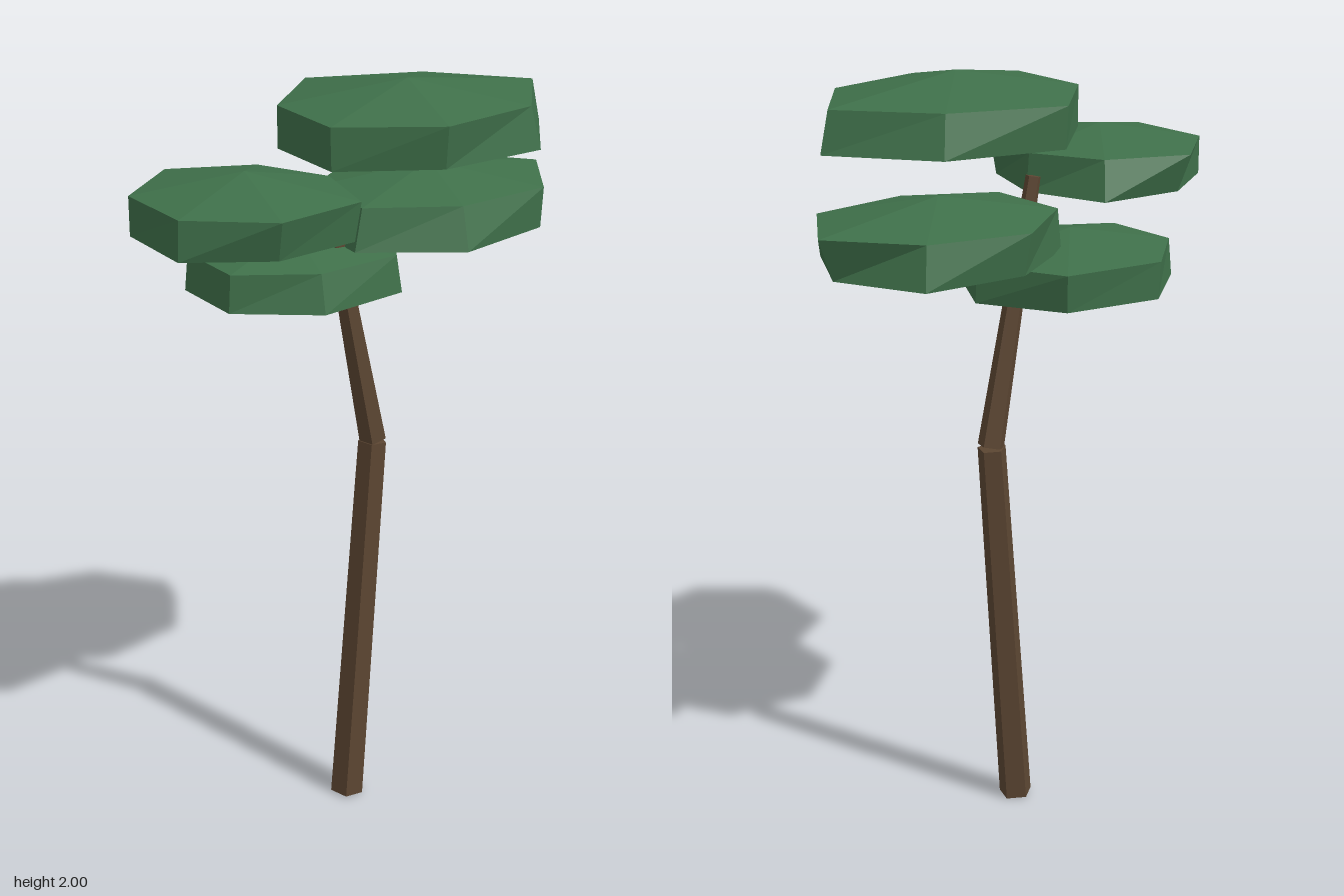
import * as THREE from 'three';

const bark = new THREE.MeshStandardMaterial({ color: 0x5c4632, flatShading: true });
bark.name = 'bark brown';
const leaf = new THREE.MeshStandardMaterial({ color: 0x3f704a, flatShading: true });
leaf.name = 'leaf green';

// Five-sided tapered trunk piece between two points
function trunkPiece(name, from, to, r0, r1) {
  const a = new THREE.Vector3(...from), b = new THREE.Vector3(...to);
  const dir = b.clone().sub(a);
  const geo = new THREE.CylinderGeometry(r1, r0, dir.length(), 5, 1, false, Math.PI);
  const mesh = new THREE.Mesh(geo, bark);
  mesh.name = name;
  mesh.position.copy(a).add(b).multiplyScalar(0.5);
  mesh.quaternion.setFromUnitVectors(new THREE.Vector3(0, 1, 0), dir.normalize());
  return mesh;
}

// Flat seven-sided leaf pad: two uneven rings between a top and a bottom point
function leafPad({ name, centre, size, upper, lower }) {
  const [rx, ry, rz] = size, n = upper.length;
  const pos = [0, ry, 0];
  [[upper, 0.5], [lower, -0.5]].forEach(([ring, h]) => ring.forEach((f, k) => {
    const t = (k / n) * Math.PI * 2;
    pos.push(Math.cos(t) * rx * f, h * ry, Math.sin(t) * rz * f);
  }));
  pos.push(0, -ry, 0);
  const index = [], last = 2 * n + 1;
  for (let k = 0; k < n; k++) {
    const ua = 1 + k, ub = 1 + (k + 1) % n, la = ua + n, lb = ub + n;
    index.push(0, ub, ua, ua, lb, la, ua, ub, lb, last, la, lb);
  }
  const geo = new THREE.BufferGeometry();
  geo.setAttribute('position', new THREE.Float32BufferAttribute(pos, 3));
  geo.setIndex(index);
  const flat = geo.toNonIndexed();
  flat.computeVertexNormals();
  const mesh = new THREE.Mesh(flat, leaf);
  mesh.name = name;
  mesh.position.set(...centre);
  return mesh;
}

// Ring factors start at +x and run towards +z
const pads = [
  { name: 'topLeafPad', centre: [0.08, 1.895, 0.09], size: [0.35, 0.105, 0.30],
    upper: [1.09, 0.94, 0.92, 0.96, 0.93, 1.10, 0.91],
    lower: [1.16, 1.02, 0.87, 0.95, 0.93, 1.08, 1.02] },
  { name: 'rightLeafPad', centre: [-0.35, 1.727, 0.04], size: [0.272, 0.098, 0.272],
    upper: [0.87, 1.06, 1.0, 1.0, 1.0, 1.03, 0.86],
    lower: [0.90, 1.0, 0.9, 1.02, 1.0, 0.9, 1.02] },
  { name: 'leftLeafPad', centre: [0.25, 1.633, -0.055], size: [0.32, 0.105, 0.27],
    upper: [1.09, 1.02, 0.9, 0.97, 0.97, 1.0, 0.93],
    lower: [0.97, 1.0, 1.05, 1.07, 1.0, 0.93, 1.04] },
  { name: 'lowLeafPad', centre: [-0.13, 1.515, -0.10], size: [0.30, 0.095, 0.265],
    upper: [1.0, 0.95, 0.84, 0.9, 0.9, 1.01, 1.05],
    lower: [1.01, 1.0, 0.95, 0.93, 0.93, 0.99, 1.0] },
];

export function createModel() {
  const tree = new THREE.Group();
  tree.name = 'tree';
  // Bent trunk
  tree.add(trunkPiece('lowerTrunk', [-0.04, 0.004, 0], [0.042, 1.035, 0], 0.045, 0.038));
  tree.add(trunkPiece('upperTrunk', [0.044, 1.04, 0], [-0.094, 1.727, 0], 0.036, 0.02));
  // Canopy
  pads.forEach((p) => tree.add(leafPad(p)));
  return tree;
}
